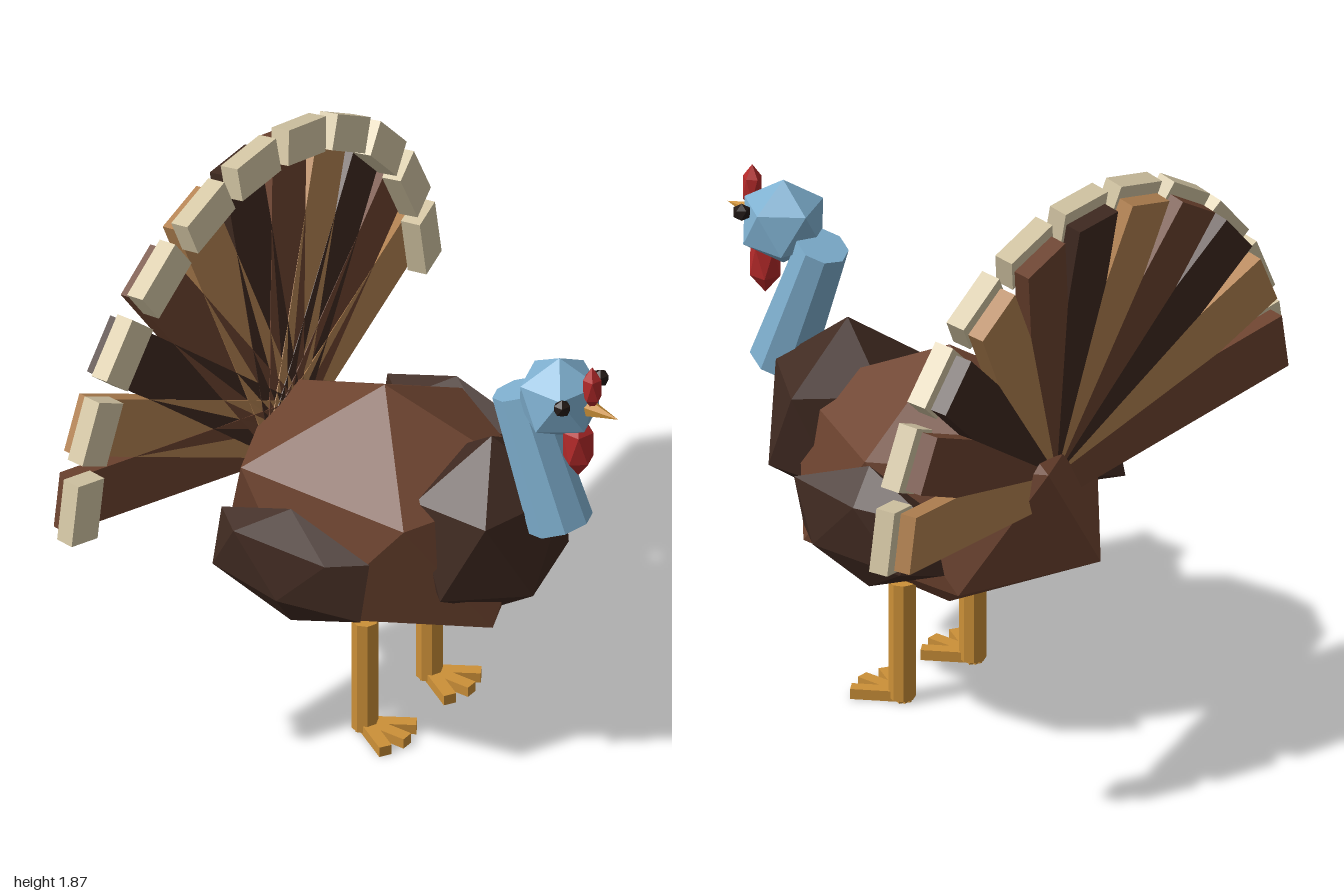
import * as THREE from 'three';
import { ConvexGeometry } from 'three/addons/geometries/ConvexGeometry.js';

const material = (name, color) => {
  const m = new THREE.MeshStandardMaterial({ color, flatShading: true });
  m.name = name;
  return m;
};

// Icosahedron standing on a vertex, with two five-point rings
function icoGeometry() {
  const pts = [new THREE.Vector3(0, 1, 0), new THREE.Vector3(0, -1, 0)];
  const y = 1 / Math.sqrt(5), r = 2 * y;
  for (let k = 0; k < 5; k++) {
    const a = (k * Math.PI * 2) / 5, b = a + Math.PI / 5;
    pts.push(new THREE.Vector3(r * Math.cos(a), y, r * Math.sin(a)));
    pts.push(new THREE.Vector3(r * Math.cos(b), -y, r * Math.sin(b)));
  }
  return new ConvexGeometry(pts);
}

export function createModel() {
  const model = new THREE.Group();
  model.name = 'turkey';

  const brown = material('brown', 0x6e4430);
  const dark = material('dark brown', 0x402a21);
  const tan = material('tan', 0xb48352);
  const cream = material('cream', 0xd6c8a6);
  const blue = material('blue', 0x7fb0d0);
  const red = material('red', 0xb52a2a);
  const gold = material('gold', 0xcc9038);
  const black = material('black', 0x211714);

  const add = (name, geometry, mat, pos, parent = model) => {
    const mesh = new THREE.Mesh(geometry, mat);
    mesh.name = name;
    mesh.position.set(...pos);
    parent.add(mesh);
    return mesh;
  };
  const ico = icoGeometry();
  const blob = (name, mat, pos, scale) => add(name, ico, mat, pos).scale.set(...scale);

  // Body and chest
  blob('body', brown, [0, 0.74, -0.14], [0.47, 0.45, 0.594]);
  blob('chest', dark, [0, 0.83, 0.27], [0.313, 0.327, 0.258]);

  // Neck leans back, head sits in front of its top
  add('neck', new THREE.CylinderGeometry(0.085, 0.105, 0.473, 8), blue, [0, 1.152, 0.453])
    .rotation.x = -0.355;
  blob('head', blue, [0, 1.41, 0.53], [0.145, 0.145, 0.145]);
  add('beak', new THREE.ConeGeometry(0.035, 0.13, 6), gold, [0, 1.41, 0.69])
    .rotation.x = Math.PI / 2;
  blob('snood', red, [0, 1.49, 0.655], [0.034, 0.08, 0.034]);
  blob('wattle', red, [0, 1.257, 0.602], [0.056, 0.117, 0.056]);

  // Eyes, wings, legs and feet
  for (const [side, s] of [['left', 1], ['right', -1]]) {
    blob(side + 'Eye', black, [s * 0.104, 1.455, 0.613], [0.03, 0.03, 0.03]);
    blob(side + 'Wing', dark, [s * 0.45, 0.742, -0.182], [0.09, 0.211, 0.333]);

    const leg = new THREE.Group();
    leg.name = side + 'Leg';
    leg.position.set(s * 0.175, 0, -0.092);
    model.add(leg);
    add('shank', new THREE.CylinderGeometry(0.043, 0.043, 0.405, 8), gold, [0, 0.2125, 0], leg);
    for (const turn of [-0.55, 0, 0.55]) {
      const toe = new THREE.BoxGeometry(0.042, 0.035, 0.19).translate(0, 0, 0.067);
      add('toe', toe, gold, [0, 0.0175, 0], leg).rotation.y = turn;
    }
  }

  // Tail fan: eleven vanes leaning back, each with a pale tip on its front
  const tail = new THREE.Group();
  tail.name = 'tailFan';
  tail.position.set(0, 0.87, -0.545);
  model.add(tail);
  const vane = new THREE.BoxGeometry(0.19, 0.96, 0.055);
  const tip = new THREE.BoxGeometry(0.21, 0.115, 0.065);
  const colours = [brown, tan, dark];
  for (let i = 0; i < 11; i++) {
    const fan = new THREE.Group();
    fan.name = 'tailFeather';
    fan.rotation.z = THREE.MathUtils.degToRad(80 - i * 16);
    tail.add(fan);
    const feather = new THREE.Group();
    feather.name = 'featherTilt';
    feather.rotation.x = -0.18;
    fan.add(feather);
    add('vane', vane, colours[i % 3], [0, 0.48, 0], feather);
    add('featherTip', tip, cream, [0, 0.943, 0.062], feather);
  }
  return model;
}
